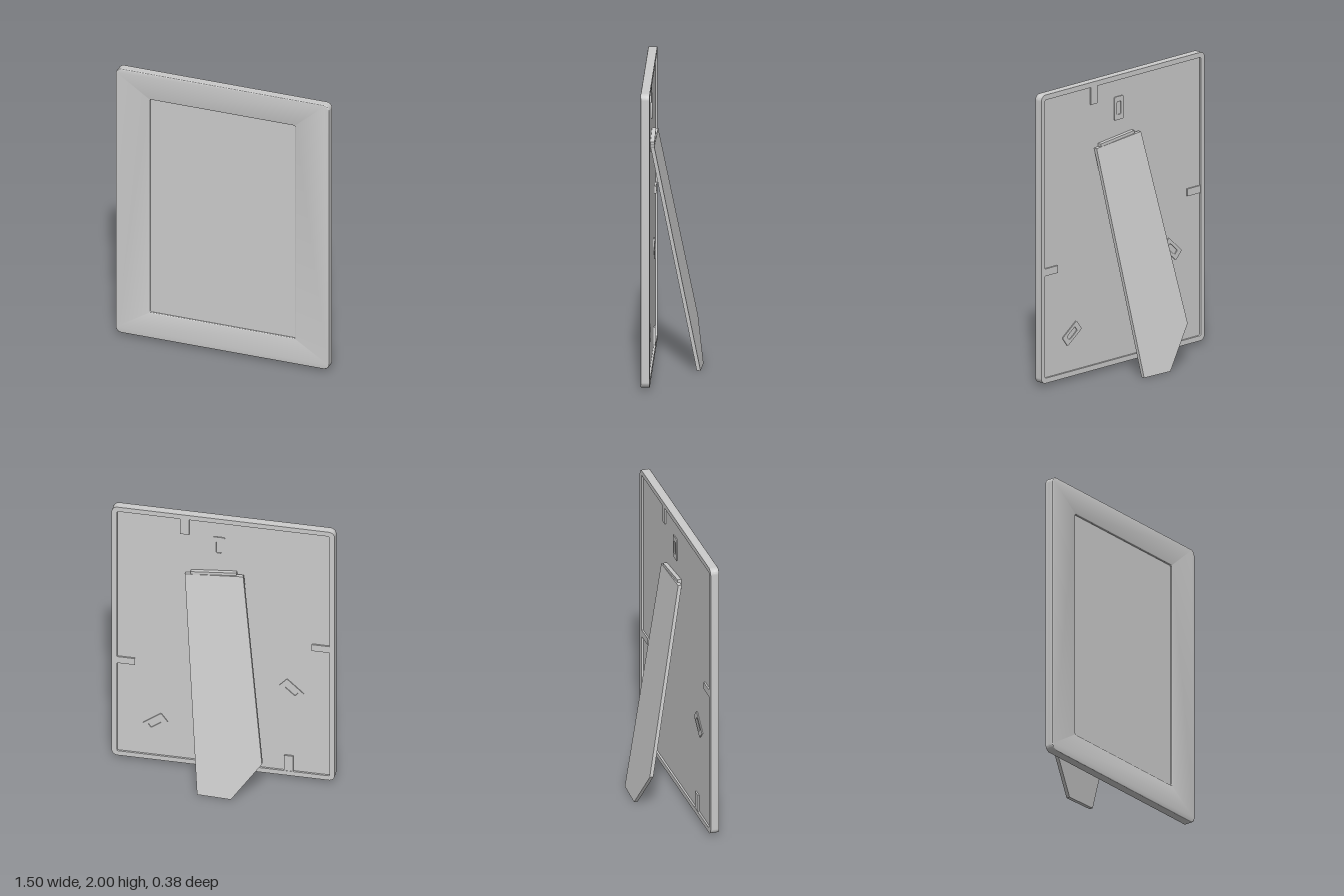
import * as THREE from 'three';
import { toCreasedNormals } from 'three/addons/utils/BufferGeometryUtils.js';

const material = new THREE.MeshStandardMaterial({ color: 0xcccccc });

// Rounded rectangle outline between two corners
function roundedRect(x0, y0, x1, y1, r, path = new THREE.Shape()) {
  path.absarc(x1 - r, y0 + r, r, -Math.PI / 2, 0);
  path.absarc(x1 - r, y1 - r, r, 0, Math.PI / 2);
  path.absarc(x0 + r, y1 - r, r, Math.PI / 2, Math.PI);
  path.absarc(x0 + r, y0 + r, r, Math.PI, Math.PI * 1.5);
  path.closePath();
  return path;
}

// Slab from z0 to z1, with optional small bevel kept inside the outline
function slab(shape, z0, z1, bevel = 0) {
  const geometry = new THREE.ExtrudeGeometry(shape, {
    depth: z1 - z0 - 2 * bevel, curveSegments: 8, bevelEnabled: bevel > 0,
    bevelSize: bevel, bevelThickness: bevel, bevelOffset: -bevel, bevelSegments: 3,
  });
  geometry.translate(0, 0, z0 + bevel);
  return toCreasedNormals(geometry, 0.7);
}

export function createModel() {
  const model = new THREE.Group();
  model.name = 'pictureFrame';
  const add = (name, geometry, parent = model) => {
    const mesh = new THREE.Mesh(geometry, material);
    mesh.name = name;
    parent.add(mesh);
    return mesh;
  };

  // Front border around the picture opening
  const border = roundedRect(-0.75, 0.02, 0.75, 2, 0.04);
  border.holes.push(roundedRect(-0.51, 0.21, 0.51, 1.81, 0.01, new THREE.Path()));
  add('frontBorder', slab(border, 0.15, 0.19, 0.005));

  // Raised rim around the back
  const rim = roundedRect(-0.75, 0.02, 0.75, 2, 0.04);
  rim.holes.push(roundedRect(-0.715, 0.055, 0.715, 1.965, 0.01, new THREE.Path()));
  add('backRim', slab(rim, 0.13, 0.156));

  // Backing board, whose front face is the picture
  add('backingBoard', slab(roundedRect(-0.715, 0.055, 0.715, 1.965, 0.01), 0.143, 0.176));

  // Retaining clips, one on each side: x, y, width, height
  const clips = [
    [0.26, 1.91, 0.06, 0.13],
    [-0.44, 0.11, 0.06, 0.13],
    [0.66, 0.78, 0.13, 0.05],
    [-0.66, 1.06, 0.13, 0.05],
  ];
  for (const [x, y, w, h] of clips) {
    add('clip', new THREE.BoxGeometry(w, h, 0.014)).position.set(x, y, 0.139);
  }

  // Small slotted hanging plates: x, y, rotation
  const plate = roundedRect(-0.04, -0.08, 0.04, 0.08, 0.008);
  plate.holes.push(roundedRect(-0.018, -0.045, 0.018, 0.045, 0.008, new THREE.Path()));
  const plateGeometry = slab(plate, 0.136, 0.146);
  for (const [x, y, angle] of [[0.03, 1.77, 0], [0.46, 0.31, 0.93], [-0.46, 0.7, -0.83]]) {
    const mesh = add('hangerPlate', plateGeometry);
    mesh.position.set(x, y, 0);
    mesh.rotation.z = angle;
  }

  // Leaning easel leg, sheared so it slopes back and down
  const outline = [[-0.12, 0], [0.11, 0], [0.255, 1.54], [-0.14, 1.58], [-0.32, 0.28]];
  const leg = new THREE.ExtrudeGeometry(
    new THREE.Shape(outline.map(([x, y]) => new THREE.Vector2(x, y))),
    { depth: 0.025, bevelEnabled: false });
  const p = leg.attributes.position;
  for (let i = 0; i < p.count; i++) {
    p.setZ(i, p.getZ(i) - 0.189 + 0.05 * p.getX(i) + 0.19 * p.getY(i));
  }
  leg.computeVertexNormals();
  add('easelLeg', leg);

  // Hinge bar joining the leg to the backing
  const hinge = add('hinge', new THREE.BoxGeometry(0.31, 0.07, 0.03));
  hinge.position.set(0.06, 1.545, 0.131);
  hinge.rotation.z = -0.1;

  return model;
}
